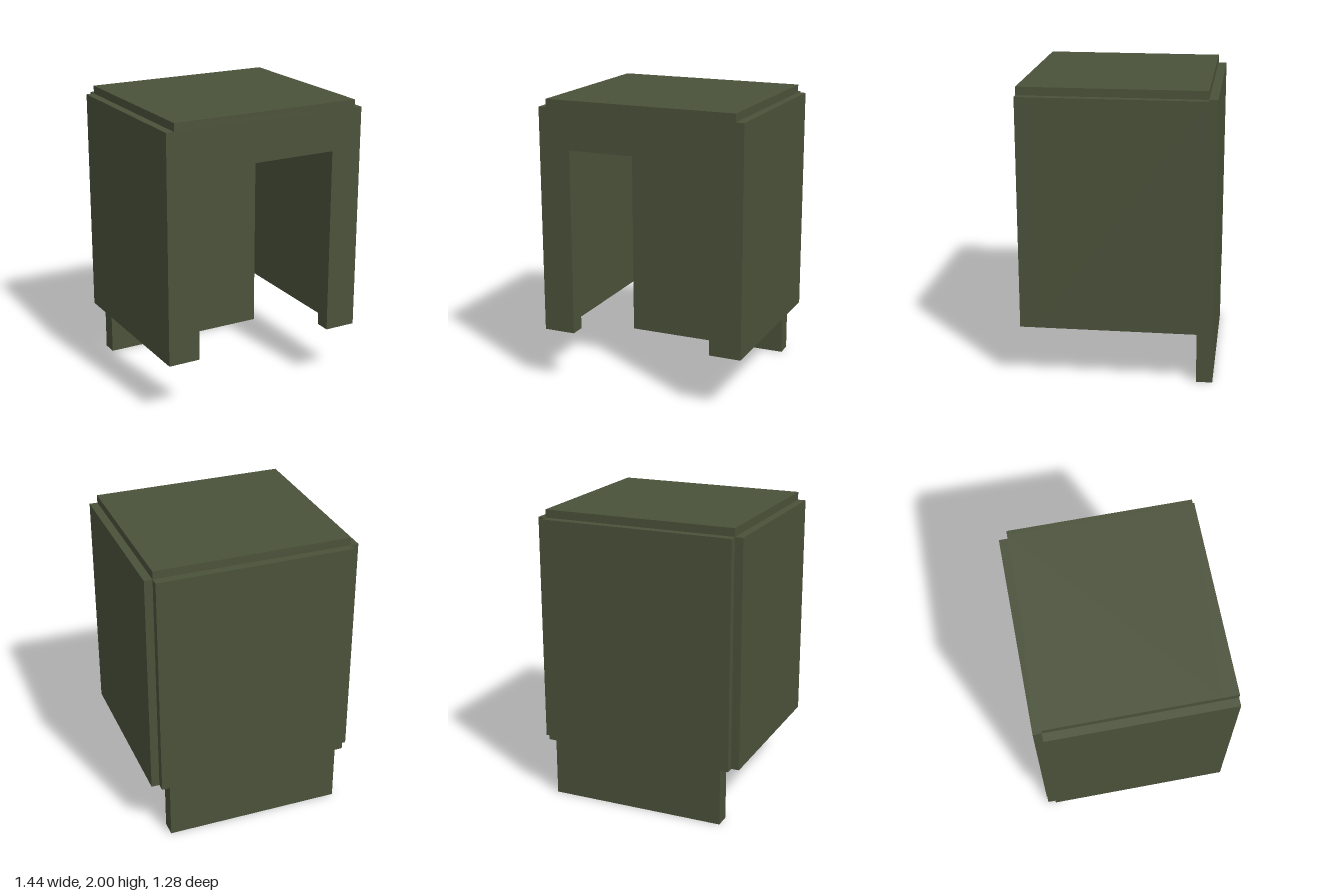
import * as THREE from 'three';

export function createModel() {
  const group = new THREE.Group();
  const olive = new THREE.MeshStandardMaterial({ color: 0x4b523a });
  olive.name = 'olive';

  // Wall panel sizes: T is the thickness, panels interlock by half of it
  const T = 0.11, FRONT = 0.64, BACK = -0.64, FRONT_IN = FRONT - T, BACK_MID = -0.583;
  const OUT = 0.72, MID = 0.665, IN = 0.61, FACE = 0.5;
  const HEM = 0.39, BROW = 1.67, SHOULDER = 1.945, TOP = 2;

  const add = (name, geometry) => {
    const mesh = new THREE.Mesh(geometry, olive);
    mesh.name = name;
    group.add(mesh);
    return mesh;
  };

  const box = (name, x0, x1, y0, y1, z0, z1) =>
    add(name, new THREE.BoxGeometry(x1 - x0, y1 - y0, z1 - z0))
      .position.set((x0 + x1) / 2, (y0 + y1) / 2, (z0 + z1) / 2);

  // Upright panel from the right half of its outline, mirrored across x = 0
  const panel = (name, half, z) => {
    const mirrored = half.map(([x, y]) => [-x, y]).reverse();
    const shape = new THREE.Shape([...half, ...mirrored].map(p => new THREE.Vector2(...p)));
    add(name, new THREE.ExtrudeGeometry(shape, { depth: T, bevelEnabled: false })).position.z = z;
  };

  // Front frame with the face opening and stepped upper corners
  panel('frontFrame', [
    [FACE, BROW], [FACE, HEM], [OUT, HEM], [OUT, SHOULDER], [MID, SHOULDER], [MID, TOP],
  ], FRONT_IN);

  // Back panel with the narrower neck guard hanging below
  panel('backPanel', [
    [IN, 0], [IN, HEM], [MID, HEM], [MID, SHOULDER],
  ], BACK);

  // Side walls
  box('leftSide', IN, OUT, HEM, SHOULDER, BACK_MID, FRONT_IN);
  box('rightSide', -OUT, -IN, HEM, SHOULDER, BACK_MID, FRONT_IN);

  // Top plate
  box('topPlate', -MID, MID, TOP - T, TOP, BACK_MID, FRONT_IN);

  return group;
}
